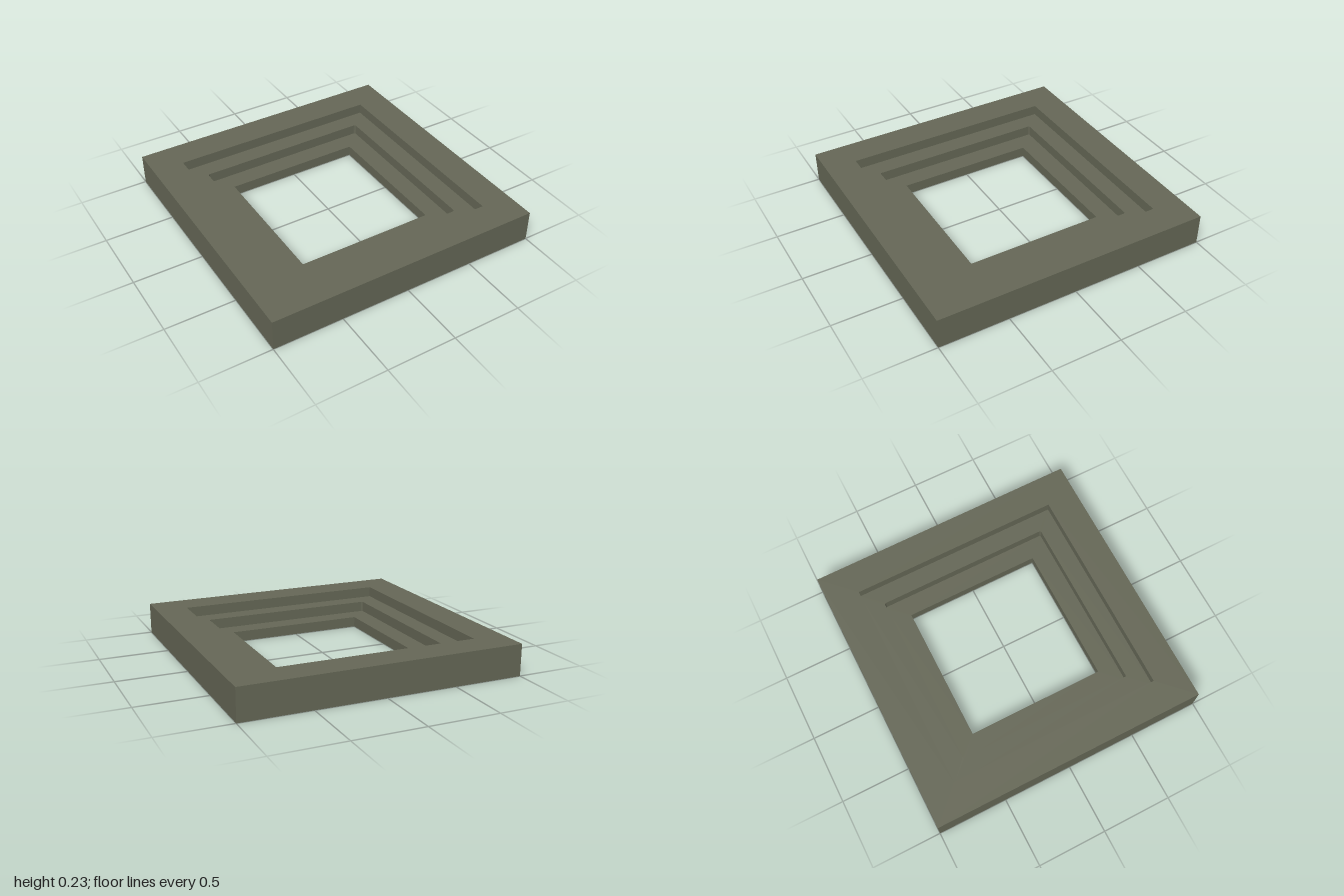
import * as THREE from 'three';

const STEP = 0.0755; // height of one terrace
const ARC = 4;       // segments per rounded corner

// Square loop of points with a corner radius
function ring(half, y, radius = 0) {
  const points = [];
  for (let c = 0; c < 4; c++) {
    const mid = (c + 0.5) * Math.PI / 2;
    const cx = Math.sign(Math.cos(mid)) * (half - radius);
    const cz = Math.sign(Math.sin(mid)) * (half - radius);
    for (let i = 0; i <= ARC; i++) {
      const a = (c + i / ARC) * Math.PI / 2;
      points.push(new THREE.Vector3(cx + radius * Math.cos(a), y, cz + radius * Math.sin(a)));
    }
  }
  return points;
}

// Faceted band joining two loops, skipping collapsed triangles
function band(from, to) {
  const vertices = [];
  const addTriangle = (a, b, c) => {
    if (new THREE.Triangle(a, b, c).getArea() > 1e-8) vertices.push(a, b, c);
  };
  from.forEach((p, i) => {
    const j = (i + 1) % from.length;
    addTriangle(p, to[i], from[j]);
    addTriangle(from[j], to[i], to[j]);
  });
  const geometry = new THREE.BufferGeometry().setFromPoints(vertices);
  geometry.computeVertexNormals();
  return geometry;
}

export function createModel() {
  const group = new THREE.Group();
  group.name = 'steppedFrame';
  const olive = new THREE.MeshStandardMaterial({ color: 0x666857 });
  olive.name = 'olive grey';

  // Cross-section: up the outside, across the rim, down the terraces, back underneath
  const loops = [
    ring(1, 0),
    ring(1, 3 * STEP),
    ring(0.773, 3 * STEP),
    ring(0.773, 2 * STEP),
    ring(0.64, 2 * STEP, 0.012),
    ring(0.64, STEP, 0.012),
    ring(0.5, STEP),
    ring(0.5, 0),
  ];
  const names = ['outerWall', 'topRim', 'upperRiser', 'upperTread',
    'middleRiser', 'lowerTread', 'openingWall', 'underside'];

  names.forEach((name, i) => {
    const mesh = new THREE.Mesh(band(loops[i], loops[(i + 1) % loops.length]), olive);
    mesh.name = name;
    group.add(mesh);
  });
  return group;
}
